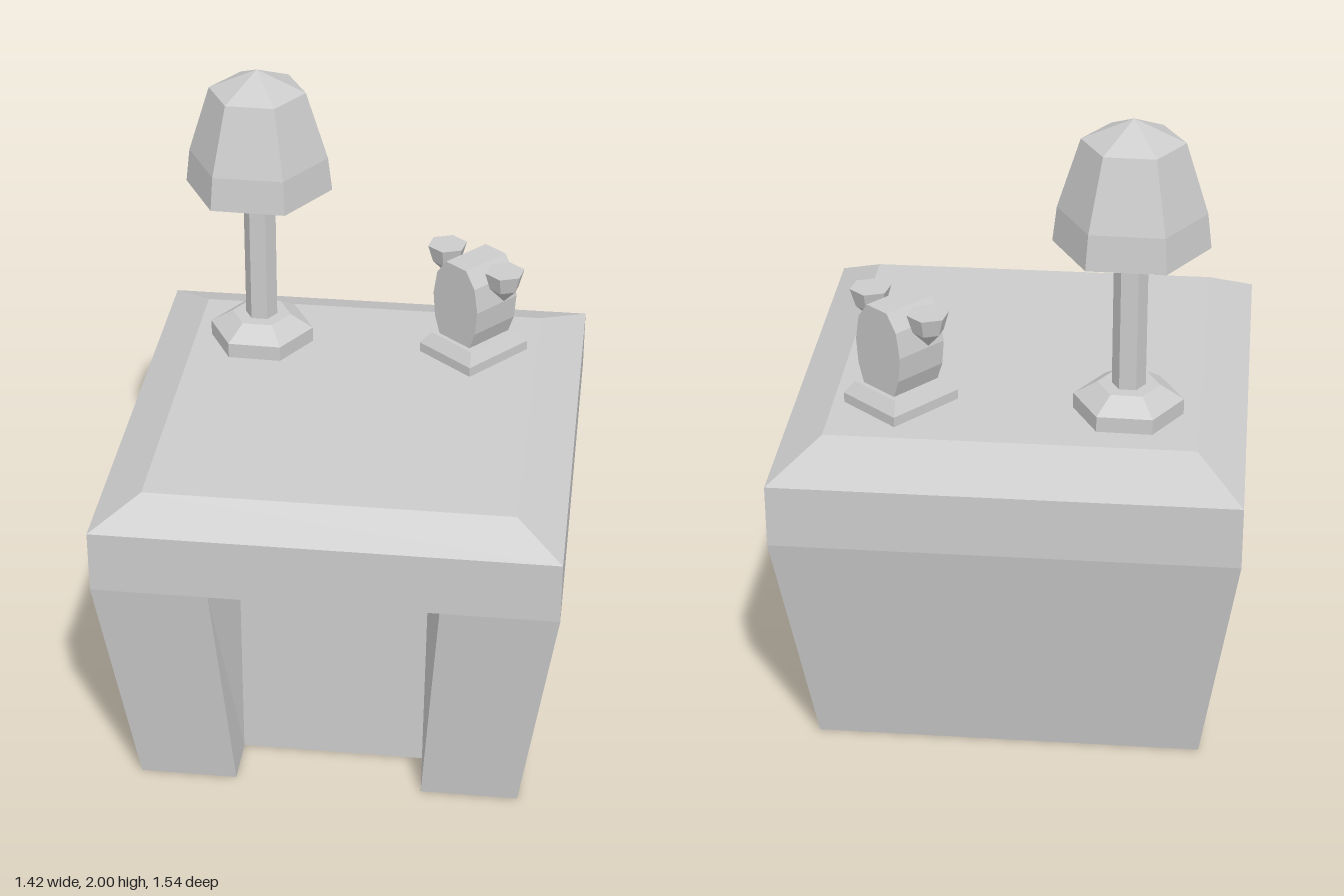
import * as THREE from 'three';

const material = new THREE.MeshStandardMaterial({ color: 0xcccccc, flatShading: true });

function addMesh(parent, name, geometry) {
  const mesh = new THREE.Mesh(geometry, material);
  mesh.name = name;
  parent.add(mesh);
  return mesh;
}

// Flat-faced solid through stacked outlines; each layer is { y, pts: [[x, z], ...] }.
function loft(layers, capBottom = true, capTop = true) {
  const pos = [];
  const put = (layer, i) => pos.push(layer.pts[i][0], layer.y, layer.pts[i][1]);
  for (let k = 0; k + 1 < layers.length; k++) {
    const lo = layers[k], hi = layers[k + 1], n = lo.pts.length;
    for (let i = 0; i < n; i++) {
      const j = (i + 1) % n;
      put(lo, i); put(hi, i); put(hi, j);
      put(lo, i); put(hi, j); put(lo, j);
    }
  }
  const cap = (layer, up) => {
    const v = layer.pts.map(([x, z]) => new THREE.Vector2(x, z));
    for (const [a, b, c] of THREE.ShapeUtils.triangulateShape(v, [])) {
      const facesDown = THREE.ShapeUtils.area([v[a], v[b], v[c]]) > 0;
      for (const i of facesDown === up ? [a, c, b] : [a, b, c]) put(layer, i);
    }
  };
  if (capBottom) cap(layers[0], false);
  if (capTop) cap(layers[layers.length - 1], true);
  const geometry = new THREE.BufferGeometry();
  geometry.setAttribute('position', new THREE.Float32BufferAttribute(pos, 3));
  geometry.computeVertexNormals();
  return geometry;
}

const rect = (x, back, front) => [[-x, back], [x, back], [x, front], [-x, front]];

// Outline with a kneehole cut into the front edge
const kneeOutline = (x, back, front, mouth) => [
  [-x, back], [x, back], [x, front], [mouth, front],
  [0.295, 0.51], [-0.295, 0.51], [-mouth, front], [-x, front],
];

// Six-sided turned part from [radius, y] points, with corners on the x axis
const turned = (points) => new THREE.LatheGeometry(
  points.map(([r, y]) => new THREE.Vector2(r, y)), 6, Math.PI / 2);

function createDesk() {
  const desk = new THREE.Group();
  desk.name = 'desk';
  addMesh(desk, 'deskBody', loft([
    { y: 0, pts: kneeOutline(0.6, -0.63, 0.675, 0.295) },
    { y: 0.76, pts: kneeOutline(0.71, -0.77, 0.77, 0.35) },
  ], true, false));
  addMesh(desk, 'deskTop', loft([
    { y: 0.76, pts: rect(0.71, -0.77, 0.77) },
    { y: 0.96, pts: rect(0.71, -0.77, 0.77) },
    { y: 1.04, pts: rect(0.565, -0.575, 0.645) },
  ]));
  return desk;
}

function createLamp() {
  const lamp = new THREE.Group();
  lamp.name = 'lamp';
  addMesh(lamp, 'lampBase', turned([[0, 1.04], [0.17, 1.04], [0.17, 1.09], [0.097, 1.135], [0, 1.135]]));
  addMesh(lamp, 'lampPole', turned([[0.052, 1.13], [0.052, 1.76]]));
  // Shade with a hollow underside
  addMesh(lamp, 'lampShade', turned([
    [0, 1.76], [0.237, 1.6], [0.224, 1.71], [0.155, 1.93], [0, 2],
  ]));
  lamp.position.set(-0.345, 0, -0.336);
  lamp.rotation.y = -0.026;
  return lamp;
}

function createOrnament() {
  const ornament = new THREE.Group();
  ornament.name = 'earedOrnament';
  addMesh(ornament, 'ornamentBase', loft([
    { y: 1.04, pts: rect(0.115, -0.133, 0.133) },
    { y: 1.072, pts: rect(0.115, -0.133, 0.133) },
    { y: 1.11, pts: rect(0.092, -0.105, 0.105) },
  ]));
  // Body: faceted rounded outline, front to back
  const half = [[0.065, 1.1], [0.092, 1.17], [0.1, 1.25], [0.085, 1.33], [0.045, 1.383]];
  const outline = [...half, ...half.map(([x, y]) => [-x, y]).reverse()];
  const shape = new THREE.Shape(outline.map(([x, y]) => new THREE.Vector2(x, y)));
  const body = new THREE.ExtrudeGeometry(shape, { depth: 0.18, bevelEnabled: false });
  addMesh(ornament, 'ornamentBody', body.translate(0, 0, -0.09));
  // Flat-topped ears
  for (const side of [1, -1]) {
    const ear = addMesh(ornament, side > 0 ? 'leftEar' : 'rightEar', turned([
      [0, 1.275], [0.048, 1.325], [0.065, 1.383], [0, 1.383],
    ]));
    ear.position.x = side * 0.13;
  }
  ornament.position.set(0.357, 0, -0.333);
  ornament.rotation.y = -0.705;
  return ornament;
}

export function createModel() {
  const model = new THREE.Group();
  model.name = 'deskWithLamp';
  model.add(createDesk(), createLamp(), createOrnament());
  return model;
}
